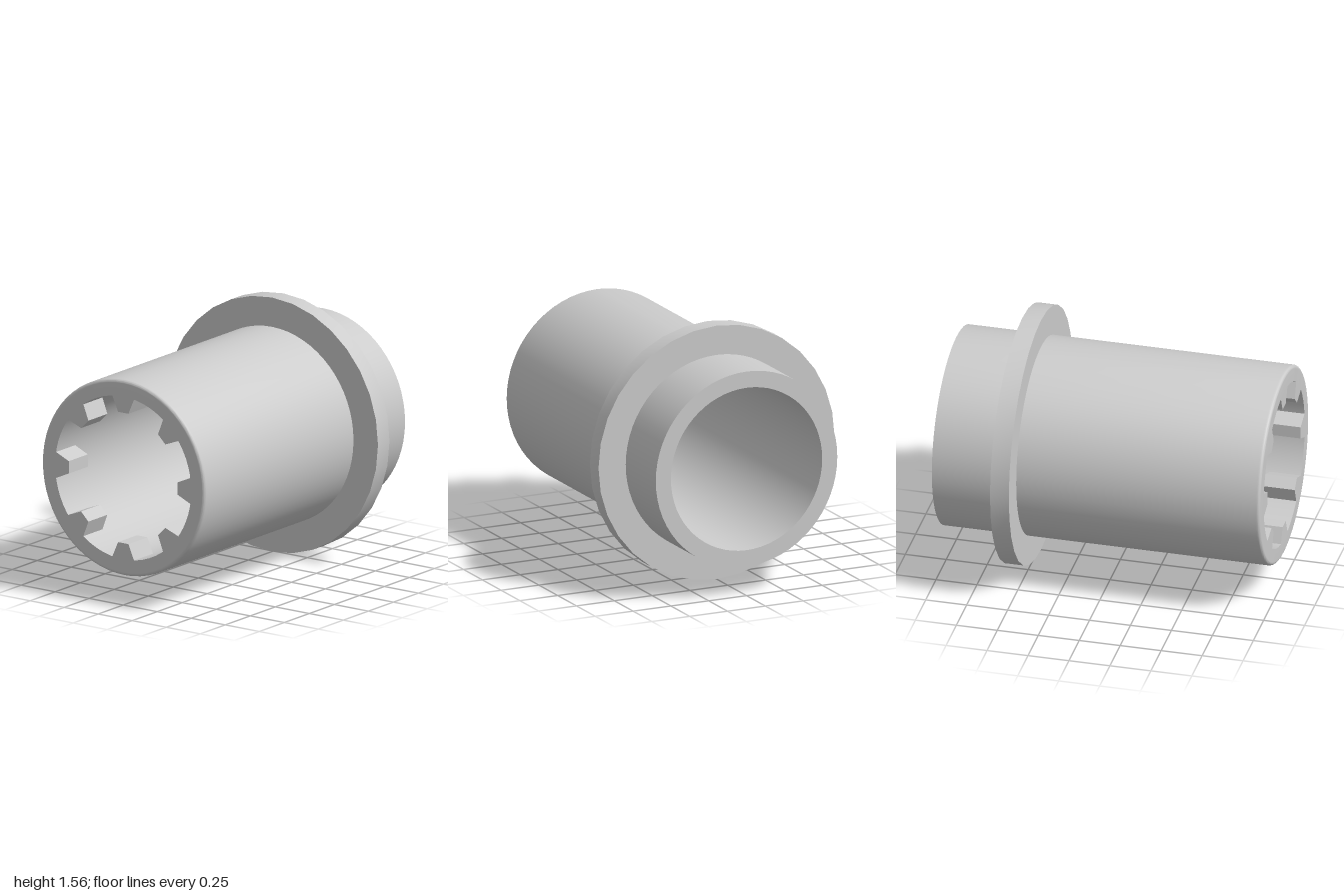
import * as THREE from 'three';
import { toCreasedNormals } from 'three/addons/utils/BufferGeometryUtils.js';

const AXIS_Y = 0.78;
const OUTER = 0.6, BORE = 0.5, FLANGE = 0.78;
const FILLET = 0.02, TOOTH_DEPTH = 0.19, TEETH = 8;

export function createModel() {
  const model = new THREE.Group();
  model.name = 'splinedSleeve';
  const material = new THREE.MeshStandardMaterial({ color: 0xcccccc });

  // Revolves a closed [radius, z] outline about the z axis
  const addRing = (name, outline, segments) => {
    const points = [...outline, outline[0]].map(([r, z]) => new THREE.Vector2(r, z));
    const geometry = new THREE.LatheGeometry(points, segments).rotateX(Math.PI / 2);
    const mesh = new THREE.Mesh(toCreasedNormals(geometry, 0.3), material);
    mesh.name = name;
    mesh.position.y = AXIS_Y;
    model.add(mesh);
  };

  // Hollow tube with a small rounded edge at the front
  const fillet = [];
  for (let i = 0; i <= 6; i++) {
    const a = (i / 6) * Math.PI / 2;
    fillet.push([OUTER - FILLET + FILLET * Math.cos(a), 1 - FILLET + FILLET * Math.sin(a)]);
  }
  addRing('tube', [[BORE, -1], [OUTER, -1], ...fillet, [OUTER - FILLET - 0.005, 1], [BORE, 1]], 64);

  // Flange collar near the back
  addRing('flange', [[OUTER - 0.02, -0.6], [FLANGE, -0.6], [FLANGE, -0.485], [OUTER - 0.02, -0.485]], 32);

  // Short tapered teeth inside the front opening
  const rootAngle = Math.asin(0.08 / BORE);
  const profile = new THREE.Shape();
  profile.moveTo(-0.038, 0.4);
  profile.lineTo(0.038, 0.4);
  profile.absarc(0, 0, BORE + 0.002, Math.PI / 2 - rootAngle, Math.PI / 2 + rootAngle, false);
  profile.closePath();
  const toothGeometry = new THREE.ExtrudeGeometry(profile, {
    depth: TOOTH_DEPTH, bevelEnabled: false, curveSegments: 4,
  });
  const teeth = new THREE.Group();
  teeth.name = 'teeth';
  teeth.position.set(0, AXIS_Y, 1 - TOOTH_DEPTH);
  for (let i = 0; i < TEETH; i++) {
    const tooth = new THREE.Mesh(toothGeometry, material);
    tooth.name = 'tooth';
    tooth.rotation.z = (i / TEETH) * Math.PI * 2;
    teeth.add(tooth);
  }
  model.add(teeth);

  return model;
}
